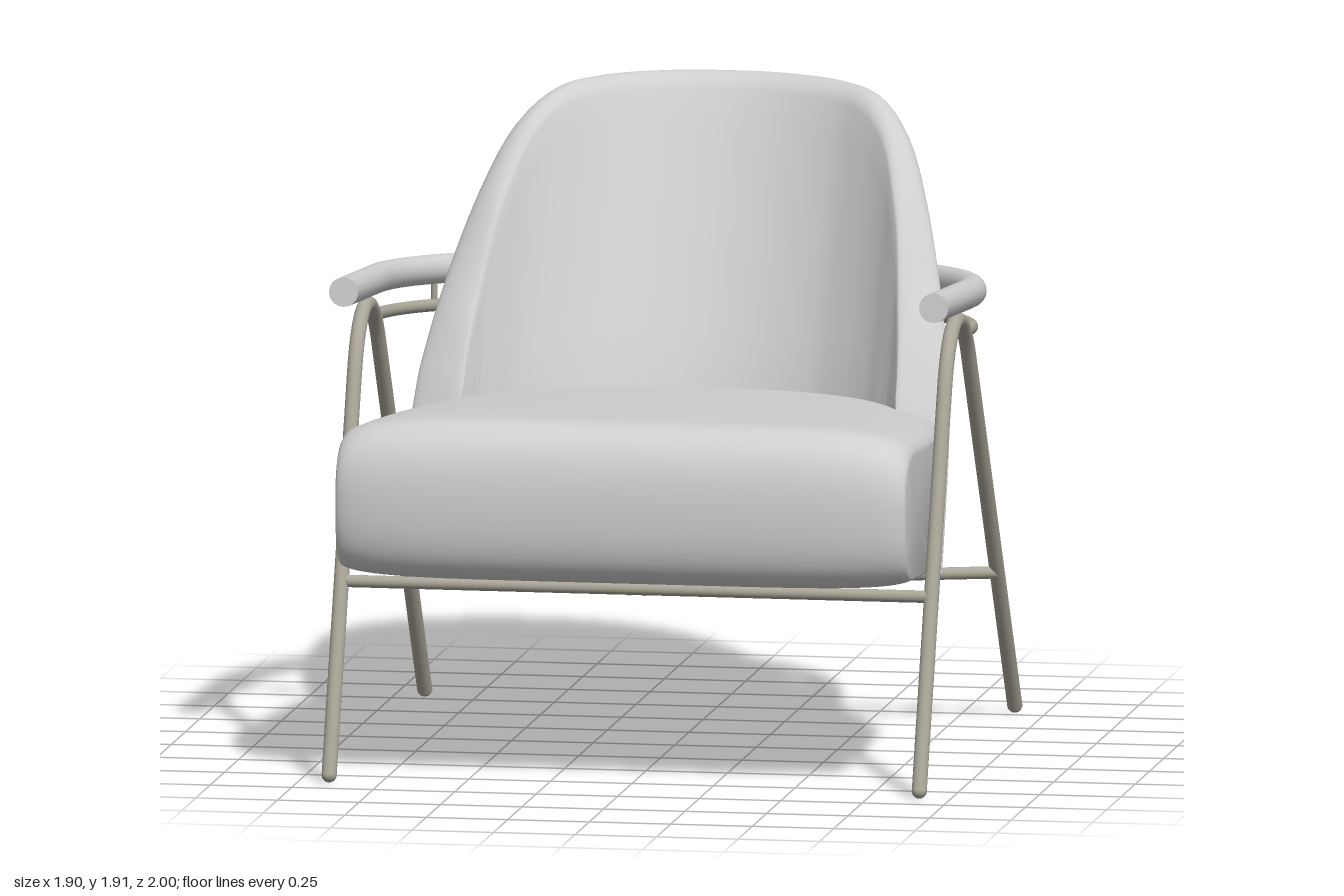
import * as THREE from 'three';
import { toCreasedNormals } from 'three/addons/utils/BufferGeometryUtils.js';

const V = (x, y, z) => new THREE.Vector3(x, y, z);
const upholstery = new THREE.MeshStandardMaterial({ color: 0xcfcfcf });
upholstery.name = 'light grey upholstery';
const metal = new THREE.MeshStandardMaterial({ color: 0xa9a598 });
metal.name = 'warm grey metal';

// Skin a row of closed cross-sections (running towards +x) and cap both ends
function loft(rings, crease) {
  const n = rings[0].length, m = rings.length, index = [];
  const points = rings.flat();
  for (let i = 0; i < m - 1; i++) {
    for (let j = 0; j < n; j++) {
      const k = (j + 1) % n;
      const a = i * n + j, b = i * n + k, c = a + n, d = b + n;
      index.push(a, c, d, a, d, b);
    }
  }
  for (const [ring, start, flip] of [[rings[0], 0, false], [rings[m - 1], (m - 1) * n, true]]) {
    const centre = ring.reduce((s, p) => s.add(p), V(0, 0, 0)).divideScalar(n);
    points.push(centre);
    for (let j = 0; j < n; j++) {
      const a = start + j, b = start + (j + 1) % n;
      index.push(points.length - 1, flip ? b : a, flip ? a : b);
    }
  }
  const g = new THREE.BufferGeometry().setFromPoints(points);
  g.setIndex(index);
  return toCreasedNormals(g, crease);
}

// Straight runs joined by rounded corners
function bentPath(pts, cut) {
  const path = new THREE.CurvePath();
  let from = pts[0];
  for (let i = 1; i < pts.length - 1; i++) {
    const c = pts[i];
    const toward = p => c.clone().add(p.clone().sub(c).setLength(cut));
    const a = toward(pts[i - 1]), b = toward(pts[i + 1]);
    path.add(new THREE.LineCurve3(from, a));
    path.add(new THREE.CubicBezierCurve3(a, a.clone().lerp(c, 0.53), b.clone().lerp(c, 0.53), b));
    from = b;
  }
  path.add(new THREE.LineCurve3(from, pts[pts.length - 1]));
  return path;
}

// Round bar along a curve with closed ends
function bar(name, curve, r, material, segments = 64) {
  const group = new THREE.Group();
  group.name = name;
  group.add(new THREE.Mesh(new THREE.TubeGeometry(curve, segments, r, 20), material));
  for (const t of [0, 1]) {
    const cap = new THREE.Mesh(new THREE.CylinderGeometry(r, r, 0.004, 20), material);
    cap.position.copy(curve.getPoint(t));
    cap.quaternion.setFromUnitVectors(V(0, 1, 0), curve.getTangent(t).normalize());
    group.add(cap);
  }
  group.children.forEach(c => { c.name = name; });
  return group;
}

const LEAN = 0.36, BASE = 0.53;

// Seat cushion: rounded side profile, softened towards both sides
function seatCushion() {
  const front = new THREE.Path();
  front.moveTo(0.86, 0.63);
  front.bezierCurveTo(0.97, 0.635, 1, 0.72, 1, 0.86);
  front.bezierCurveTo(1, 1.03, 0.95, 1.12, 0.82, 1.12);
  const nose = front.getPoints(14);
  const rings = [];
  const N = 56;
  for (let i = 0; i <= N; i++) {
    const u = Math.sin((i / N - 0.5) * Math.PI);
    const x = 0.875 * u;
    const inset = 0.085 * (1 - Math.sqrt(Math.max(0, 1 - u ** 6)));
    const back = -0.45 + 0.69 * x * x;
    const backTop = back - LEAN * 0.48;
    const row = (y0, z0, y1, z1) => [0, 0.25, 0.5, 0.75].map(t =>
      new THREE.Vector2(z0 + (z1 - z0) * t, y0 + (y1 - y0) * t));
    const profile = [
      ...row(0.63 - 0.087 * (0.86 - back), back, 0.63, 0.86),
      ...nose,
      ...row(1.12 - 0.08 * (0.82 - backTop), backTop, 1.12, 0.82).reverse(),
    ];
    rings.push(profile.map(p => {
      const mid = 0.875 - 0.083 * (0.85 - p.x);
      const taper = 1 - 0.07 * Math.max(0, (0.8 - p.x) / 0.8) ** 2;
      const squeeze = inset * (p.y > mid ? 1 : 0.4);
      return V(Math.max(-1, Math.min(1, u)) * 0.875 * Math.max(0.9, taper),
        mid + (p.y - mid) * (1 - squeeze / 0.25),
        p.x - inset * 0.6 * Math.max(0, p.x));
    }));
  }
  const mesh = new THREE.Mesh(loft(rings, 0.7), upholstery);
  mesh.name = 'seatCushion';
  return mesh;
}

// Backrest: leaning wrap-around shell; each point gives x, rim height and plan depth
function backrest() {
  const half = [[0.2, 1.912, -0.497], [0.42, 1.905, -0.41], [0.56, 1.88, -0.305],
    [0.66, 1.79, -0.205], [0.72, 1.65, -0.125], [0.765, 1.48, -0.06], [0.797, 1.3, 0],
    [0.817, 1.13, 0.04], [0.83, 0.97, 0.07], [0.835, 0.85, 0.09]];
  const pts = [...half.map(([x, y, z]) => V(-x, y, z)).reverse(), V(0, 1.912, -0.522),
    ...half.map(p => V(...p))];
  const curve = new THREE.CatmullRomCurve3(pts, false, 'centripetal');
  const rings = [];
  const N = 120;
  for (let i = 0; i <= N; i++) {
    const s = Math.sin((i / N - 0.5) * Math.PI);
    const p = curve.getPointAt((s + 1) / 2);
    const tan = curve.getTangentAt((s + 1) / 2);
    const inward = V(-tan.z, 0, tan.x).normalize();
    const end = Math.max(0, (Math.abs(s) - 0.95) / 0.05);
    const e = Math.max(0.02, Math.sqrt(Math.max(0, 1 - end * end)));
    const foot = 0.558 + 0.088 * (p.z - 0.07);
    const round = 0.05 + 0.02 * s * s;
    // the shell thins and narrows towards its top
    const at = (y, across) => {
      const t = Math.min(0.17, 0.17 - 0.1 * (y - 1.07));
      const d = t * (0.2 * (1 - e) + across * e);
      const narrow = 1 - 0.1 * Math.max(0, y - 1.1);
      return V((p.x + inward.x * d) * narrow, y, p.z + inward.z * d - LEAN * (y - BASE));
    };
    const ring = [];
    const top = p.y - round;
    for (let k = 0; k <= 14; k++) ring.push(at(foot + (top - foot) * k / 14, 1));
    for (let k = 1; k < 12; k++) {
      const a = Math.PI * k / 12;
      ring.push(at(top + round * Math.sin(a), 0.5 + 0.5 * Math.cos(a)));
    }
    for (let k = 14; k >= 0; k--) ring.push(at(foot + (top - foot) * k / 14, 0));
    rings.push(ring);
  }
  const mesh = new THREE.Mesh(loft(rings, 0.7), upholstery);
  mesh.name = 'backrest';
  return mesh;
}

// Horseshoe path shared by the armrest and the rail below it
const SIDE = 0.905, ARC_Z = 0.04;
const armY = z => 1.46 - 0.084 * (0.63 - z);
function horseshoe(startZ, drop) {
  const pts = [];
  for (let k = 0; k < 6; k++) pts.push([SIDE, startZ + (ARC_Z - startZ) * k / 6]);
  for (let k = 0; k <= 32; k++) {
    const a = Math.PI * k / 32;
    pts.push([SIDE * Math.cos(a), ARC_Z - SIDE * Math.sin(a)]);
  }
  for (let k = 5; k >= 0; k--) pts.push([-SIDE, startZ + (ARC_Z - startZ) * k / 6]);
  return new THREE.CatmullRomCurve3(pts.map(([x, z]) => V(x, armY(z) - drop, z)));
}

export function createModel() {
  const chair = new THREE.Group();
  chair.name = 'loungeChair';
  chair.add(seatCushion(), backrest());

  // Armrest, support rail and the small posts between them
  chair.add(bar('armrest', horseshoe(0.63, 0), 0.045, upholstery, 140));
  chair.add(bar('armRail', horseshoe(0.09, 0.11), 0.019, metal, 120));
  for (const a of [0.48, Math.PI / 2, Math.PI - 0.48]) {
    const x = SIDE * Math.cos(a), z = ARC_Z - SIDE * Math.sin(a), y = armY(z);
    chair.add(bar('armPost', new THREE.LineCurve3(V(x, y - 0.11, z), V(x, y, z)), 0.01, metal, 1));
  }

  // Hairpin legs with rounded feet, and the bent stretchers under the seat
  for (const side of [1, -1]) {
    const x = SIDE * side;
    const legs = bar(side > 0 ? 'leftLegs' : 'rightLegs', bentPath(
      [V(x, 0.022, 0.885), V(x, 1.604, 0.279), V(x, 0.022, -0.793)], 0.46), 0.023, metal, 120);
    for (const z of [0.885, -0.793]) {
      const foot = new THREE.Mesh(new THREE.SphereGeometry(0.023, 20, 12), metal);
      foot.name = 'foot';
      foot.position.set(x, 0.023, z);
      legs.add(foot);
    }
    chair.add(legs);
    chair.add(bar('bentStretcher', bentPath(
      [V(x, 0.478, -0.48), V(0.022 * side, 0.538, 0.2), V(0.022 * side, 0.58, 0.665)], 0.07),
    0.019, metal));
  }
  chair.add(bar('frontStretcher',
    new THREE.LineCurve3(V(-SIDE, 0.583, 0.67), V(SIDE, 0.583, 0.67)), 0.019, metal, 1));
  return chair;
}
